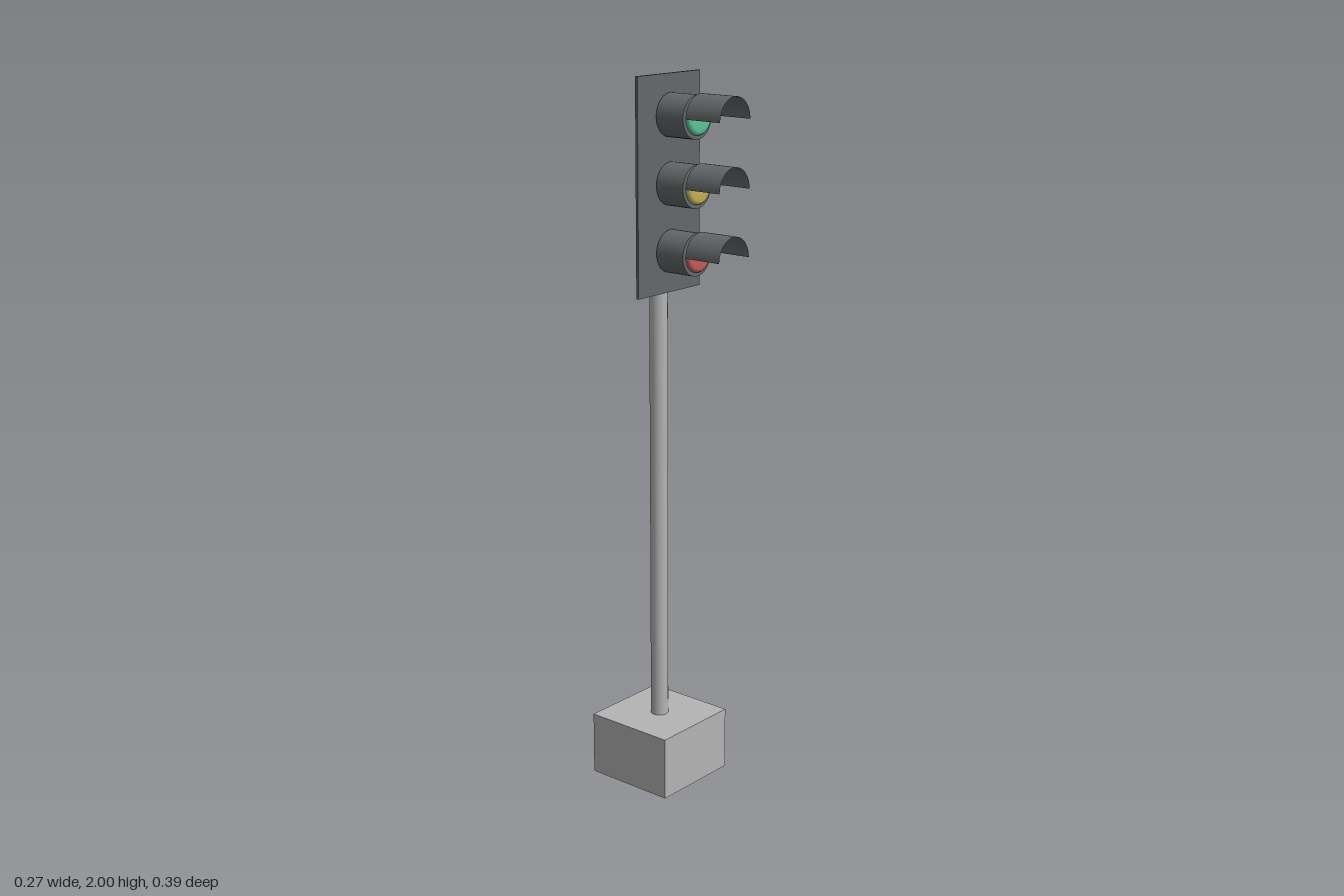
import * as THREE from 'three';

const mat = (name, color, side = THREE.FrontSide) =>
  new THREE.MeshStandardMaterial({ name, color, side });

export function createModel() {
  const group = new THREE.Group();
  group.name = 'trafficLight';
  const lightGrey = mat('lightGrey', 0xb4b4b4);
  const darkGrey = mat('darkGrey', 0x63686a, THREE.DoubleSide);

  const add = (parent, name, geometry, material, x, y, z) => {
    const mesh = new THREE.Mesh(geometry, material);
    mesh.name = name;
    mesh.position.set(x, y, z);
    parent.add(mesh);
    return mesh;
  };

  // Foundation block, post and backing plate
  add(group, 'base', new THREE.BoxGeometry(0.27, 0.18, 0.27), lightGrey, 0, 0.09, -0.063);
  add(group, 'pole', new THREE.CylinderGeometry(0.025, 0.025, 1.8, 32), lightGrey, 0, 1.08, -0.063);
  add(group, 'backPlate', new THREE.BoxGeometry(0.252, 0.58, 0.008), darkGrey, 0, 1.71, -0.028);

  // Shared lamp geometries, with their axes turned to face the front
  const housing = new THREE.CylinderGeometry(0.058, 0.058, 0.091, 32).rotateX(Math.PI / 2);
  const visor = new THREE.CylinderGeometry(0.062, 0.062, 0.113, 24, 1, true, Math.PI / 2, Math.PI)
    .rotateX(Math.PI / 2);
  const lens = new THREE.LatheGeometry(
    [[0.047, 0], [0.046, 0.006], [0.043, 0.01], [0.037, 0.012], [0.02, 0.0135], [0, 0.014]]
      .map(([r, h]) => new THREE.Vector2(r, h)), 32).rotateX(Math.PI / 2);

  // Three lamps: a drum, a shallow domed lens and a half-round visor
  const lamps = [
    ['green', 0x5fc89c, 1.893],
    ['yellow', 0xc8b45a, 1.713],
    ['red', 0xc85f5f, 1.533],
  ];
  for (const [name, color, y] of lamps) {
    const lamp = new THREE.Group();
    lamp.name = name + 'Lamp';
    lamp.position.y = y;
    add(lamp, 'housing', housing, darkGrey, 0, 0, 0.0255);
    add(lamp, 'lens', lens, mat(name, color), 0, 0, 0.071);
    add(lamp, 'visor', visor, darkGrey, 0, 0, 0.1395);
    group.add(lamp);
  }
  return group;
}
